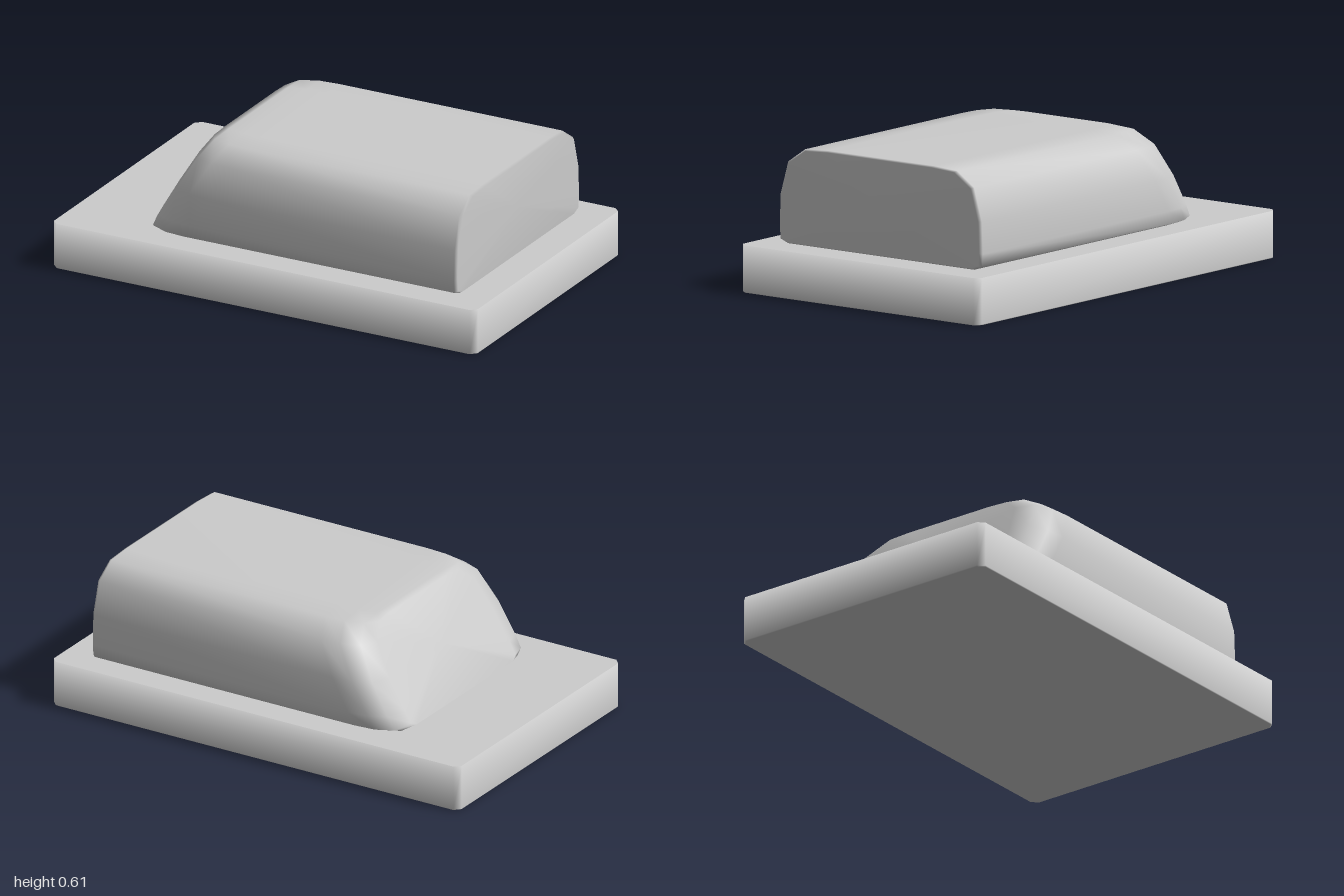
import * as THREE from 'three';

// Skin a series of closed rings (arrays of [x, y, z]) and cap both ends.
// flatCaps keeps the caps crisp while the sides stay smooth.
function loft(rings, flatCaps) {
  const n = rings[0].length;
  const points = rings.flat();
  const index = [];
  for (let r = 0; r < rings.length - 1; r++) {
    for (let i = 0; i < n; i++) {
      const a = r * n + i, b = r * n + (i + 1) % n;
      index.push(a, b, b + n, a, b + n, a + n);
    }
  }
  const sideCorners = index.length;
  const cap = (ring, start, flip) => {
    const centre = [0, 1, 2].map(k => ring.reduce((sum, p) => sum + p[k], 0) / n);
    const c = points.push(centre) - 1;
    for (let i = 0; i < n; i++) {
      const a = start + i, b = start + (i + 1) % n;
      index.push(c, flip ? b : a, flip ? a : b);
    }
  };
  cap(rings[0], 0, true);
  cap(rings[rings.length - 1], (rings.length - 1) * n, false);

  let geometry = new THREE.BufferGeometry();
  geometry.setAttribute('position', new THREE.Float32BufferAttribute(points.flat(), 3));
  geometry.setIndex(index);
  geometry.computeVertexNormals();
  if (flatCaps) {
    geometry = geometry.toNonIndexed();
    const smooth = geometry.attributes.normal.clone();
    geometry.computeVertexNormals();
    const normal = geometry.attributes.normal;
    for (let i = 0; i < sideCorners; i++) {
      normal.setXYZ(i, smooth.getX(i), smooth.getY(i), smooth.getZ(i));
    }
  }
  return geometry;
}

// Rectangular slab outline with small clipped corners, anticlockwise from above
function slabRing(y, inset) {
  const x = 1 - inset, z = 0.63 - inset, c = 0.025;
  return [
    [x, y, z - c], [x, y, -z + c], [x - c, y, -z], [-x + c, y, -z],
    [-x, y, -z + c], [-x, y, z - c], [-x + c, y, z], [x - c, y, z],
  ];
}

// Half section of the upper block as [z, y], from the top down
const half = [
  [0.28, 0.613], [0.40, 0.606], [0.49, 0.545], [0.53, 0.405],
  [0.535, 0.27], [0.53, 0.215], [0.49, 0.20],
];
const section = [...half, ...half.map(([z, y]) => [-z, y]).reverse()];

function blockRing(zScale, yScale, xAt) {
  return section.map(([z, y]) => {
    const h = 0.4065 + (y - 0.4065) * yScale;
    return [xAt(h), h, z * zScale];
  });
}

export function createModel() {
  const model = new THREE.Group();
  const material = new THREE.MeshStandardMaterial({ color: 0xcccccc });
  const add = (name, geometry) => {
    const mesh = new THREE.Mesh(geometry, material);
    mesh.name = name;
    model.add(mesh);
  };

  // Flat base slab
  add('baseSlab', loft([slabRing(0, 0.004), slabRing(0.004, 0), slabRing(0.2, 0)], true));

  // Rounded block: sloping nose at -x, upright end at +x
  const slope = offset => y => -0.632 + (y - 0.21) * 0.585 + offset;
  add('upperBlock', loft([
    blockRing(0.76, 0.955, slope(0)),
    blockRing(0.92, 0.985, slope(0.03)),
    blockRing(0.985, 0.998, slope(0.11)),
    blockRing(1, 1, slope(0.2)),
    blockRing(1, 1, () => 0.848),
    blockRing(0.98, 0.97, () => 0.86),
  ], false));

  return model;
}
